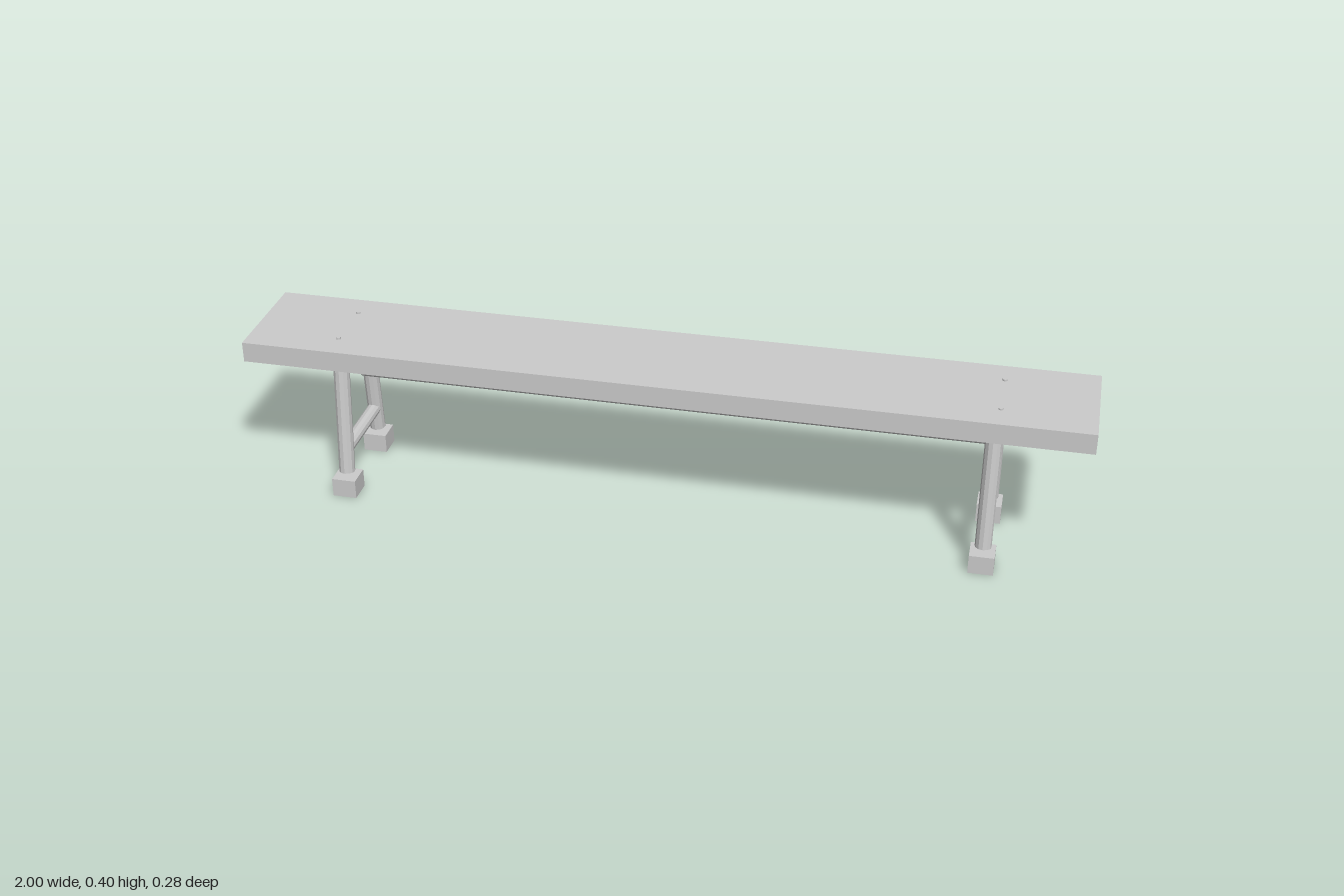
import * as THREE from 'three';

const flat = new THREE.MeshStandardMaterial({ color: 0xcccccc, flatShading: true });
const smooth = new THREE.MeshStandardMaterial({ color: 0xcccccc });

function box(name, size, position) {
  const mesh = new THREE.Mesh(new THREE.BoxGeometry(...size), flat);
  mesh.name = name;
  mesh.position.set(...position);
  return mesh;
}

// Round bar running between two points
function bar(name, from, to, radius, sides, material = flat) {
  const a = new THREE.Vector3(...from);
  const b = new THREE.Vector3(...to);
  const axis = b.clone().sub(a);
  const mesh = new THREE.Mesh(new THREE.CylinderGeometry(radius, radius, axis.length(), sides), material);
  mesh.name = name;
  mesh.position.copy(a).add(b).multiplyScalar(0.5);
  mesh.quaternion.setFromUnitVectors(new THREE.Vector3(0, 1, 0), axis.normalize());
  return mesh;
}

export function createModel() {
  const bench = new THREE.Group();
  bench.name = 'bench';

  // Plank seat and the long rail beneath it
  bench.add(box('seat', [2, 0.05, 0.274], [0, 0.375, 0]));
  bench.add(bar('longRail', [-0.755, 0.289, 0], [0.755, 0.289, 0], 0.02, 24, smooth));

  // A splayed trestle at each end
  for (const sx of [-1, 1]) {
    const trestle = new THREE.Group();
    trestle.name = sx > 0 ? 'leftTrestle' : 'rightTrestle';
    const x = sx * 0.775;
    for (const sz of [-1, 1]) {
      const end = sz > 0 ? 'front' : 'back';
      trestle.add(bar(end + 'Leg', [x, 0.058, sz * 0.111], [x, 0.349, sz * 0.085], 0.0195, 12));
      trestle.add(box(end + 'Foot', [0.059, 0.047, 0.059], [x, 0.0235, sz * 0.1115]));
      // Small peg head on the seat
      trestle.add(bar(end + 'Peg', [sx * 0.783, 0.39, sz * 0.068], [sx * 0.783, 0.404, sz * 0.068], 0.0055, 12));
    }
    trestle.add(bar('stretcher', [x, 0.117, -0.106], [x, 0.117, 0.106], 0.0165, 12));
    bench.add(trestle);
  }
  return bench;
}
